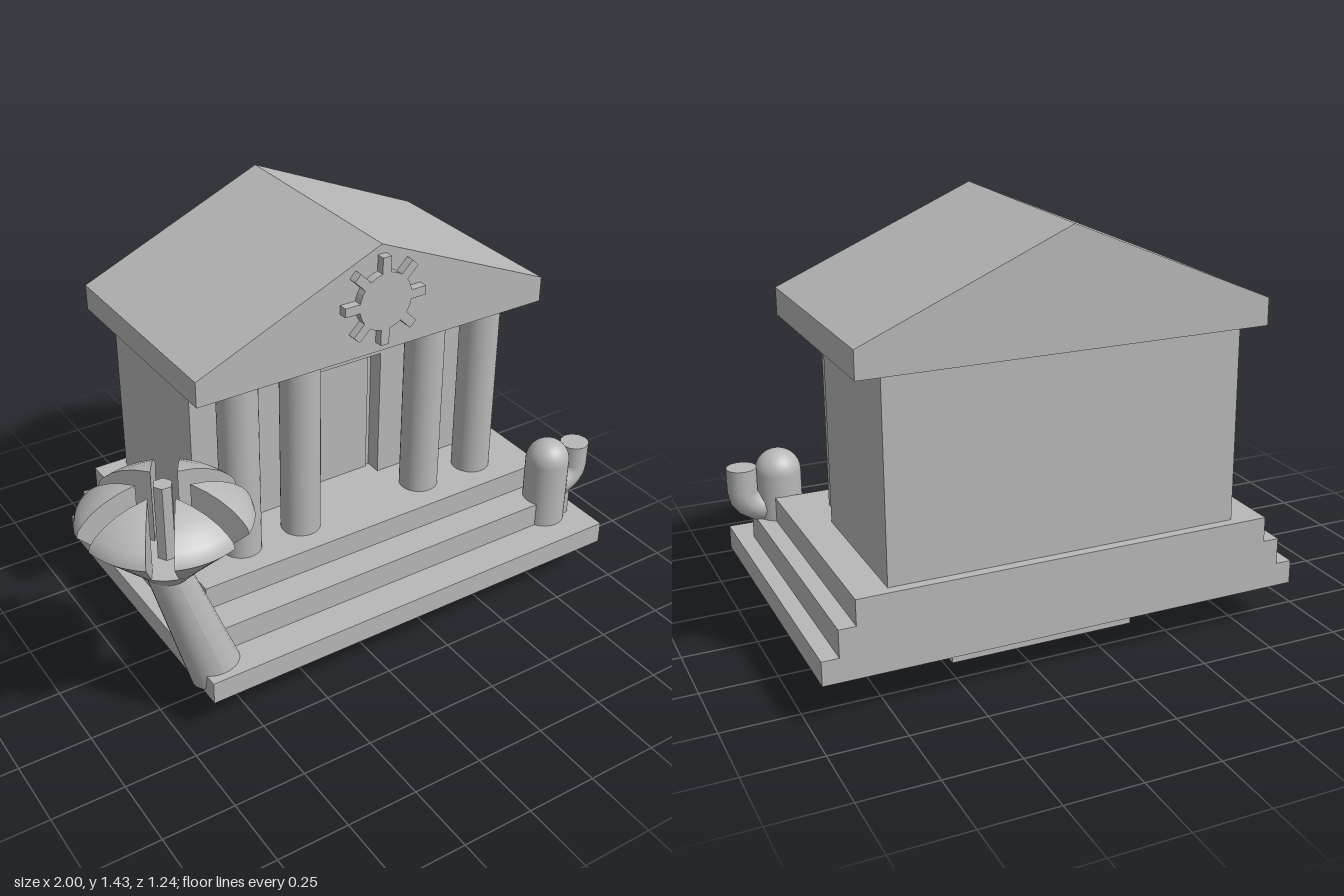
import * as THREE from 'three';
import { toCreasedNormals } from 'three/addons/utils/BufferGeometryUtils.js';

const stone = new THREE.MeshStandardMaterial({ color: 0xb8b8b8 });
stone.name = 'grey stone';

function add(parent, name, geometry, x = 0, y = 0, z = 0) {
  const mesh = new THREE.Mesh(geometry, stone);
  mesh.name = name;
  mesh.position.set(x, y, z);
  parent.add(mesh);
  return mesh;
}

// Box given by its limits on each axis
function block(parent, name, x0, x1, y0, y1, z0, z1) {
  return add(parent, name, new THREE.BoxGeometry(x1 - x0, y1 - y0, z1 - z0),
    (x0 + x1) / 2, (y0 + y1) / 2, (z0 + z1) / 2);
}

function extrude(points, depth) {
  const shape = new THREE.Shape(points.map(([x, y]) => new THREE.Vector2(x, y)));
  return new THREE.ExtrudeGeometry(shape, { depth, bevelEnabled: false });
}

// Flower petal: a 60 degree wedge of a domed bowl, its tip set off from the centre
function petalGeometry() {
  const tip = 0.08, cols = 10;
  const profile = [[0.13, 0.7], [0.268, 0.84], [0.262, 0.86], [0.245, 0.88],
    [0.215, 0.905], [0.175, 0.927], [0.13, 0.943], [0.08, 0.953]];
  const rows = profile.map(([r, y]) => {
    const half = Math.max(0, Math.PI / 6 - Math.asin(Math.min(0.5, tip * 0.5 / r)));
    return Array.from({ length: cols + 1 }, (_, i) => {
      const a = half * (2 * i / cols - 1);
      return [r * Math.sin(a), y, r * Math.cos(a)];
    });
  });
  const pos = [];
  const tri = (a, b, c) => pos.push(...a, ...b, ...c);
  const root = [0, 0.7, tip];
  for (let j = 0; j < rows.length - 1; j++) {
    const a = rows[j], b = rows[j + 1];
    const top = j === rows.length - 2;
    for (let i = 0; i < cols; i++) {
      tri(a[i], a[i + 1], b[i + 1]);
      if (!top) tri(a[i], b[i + 1], b[i]);
    }
    // Flat cut sides
    tri(root, a[0], b[0]);
    tri(root, b[cols], a[cols]);
  }
  const g = new THREE.BufferGeometry();
  g.setAttribute('position', new THREE.Float32BufferAttribute(pos, 3));
  g.computeVertexNormals();
  return toCreasedNormals(g, 0.5);
}

function createTemple() {
  const temple = new THREE.Group();
  temple.name = 'temple';
  const cx = 0.155;

  // Base and steps, flush at the back
  block(temple, 'plinth', -0.17, 0.475, 0, 0.145, -0.405, 0.246);
  block(temple, 'lowerStep', -0.655, 0.965, 0.145, 0.225, -0.62, 0.46);
  block(temple, 'middleStep', -0.6, 0.91, 0.225, 0.315, -0.62, 0.337);
  block(temple, 'upperStep', -0.545, 0.855, 0.315, 0.4, -0.62, 0.223);

  // Hall with a recessed doorway
  block(temple, 'hall', -0.435, 0.745, 0.4, 1.05, -0.587, -0.11);
  add(temple, 'doorWall', extrude([[-0.435, 0.4], [-0.013, 0.4], [-0.013, 0.89], [0.318, 0.89],
    [0.318, 0.4], [0.745, 0.4], [0.745, 1.05], [-0.435, 1.05]], 0.06), 0, 0, -0.11);
  block(temple, 'door', 0.006, 0.3, 0.4, 0.87, -0.11, -0.1);

  // Columns
  for (const x of [-0.33, -0.095, 0.405, 0.64]) {
    add(temple, 'column', new THREE.CylinderGeometry(0.069, 0.069, 0.65, 32), x, 0.725, 0.082);
  }

  // Gabled roof
  add(temple, 'roof', extrude([[-0.52, 1.05], [0.828, 1.05], [0.828, 1.14], [cx, 1.43],
    [-0.52, 1.14]], 0.782), 0, 0, -0.612);

  // Sun emblem outline: a disc with eight square rays
  const pts = [], R = 0.1, half = 0.016;
  const edge = Math.asin(half / R);
  for (let k = 0; k < 8; k++) {
    const a = k * Math.PI / 4, c = Math.cos(a), s = Math.sin(a);
    for (const side of [-1, 1]) {
      const inner = [R * Math.cos(a + side * edge), R * Math.sin(a + side * edge)];
      const outer = [0.155 * c - side * half * s, 0.155 * s + side * half * c];
      pts.push(...(side < 0 ? [inner, outer] : [outer, inner]));
    }
    for (const t of [0.33, 0.67]) {
      const b = a + edge + t * (Math.PI / 4 - 2 * edge);
      pts.push([R * Math.cos(b), R * Math.sin(b)]);
    }
  }
  add(temple, 'sunEmblem', extrude(pts, 0.03), cx, 1.242, 0.17);
  return temple;
}

function createFlower() {
  const flower = new THREE.Group();
  flower.name = 'giantFlower';
  flower.position.set(-0.735, 0, 0.352);

  // Leaning stem with a level top and a slanted foot
  const stem = new THREE.CylinderGeometry(0.07, 0.082, 1, 24);
  const p = stem.attributes.position;
  for (let i = 0; i < p.count; i++) {
    const x = p.getX(i);
    if (p.getY(i) > 0) p.setY(i, 0.635);
    else p.setXYZ(i, x + 0.145, 0.188 + x * 0.45, p.getZ(i));
  }
  stem.computeVertexNormals();
  add(flower, 'stem', stem);

  add(flower, 'flowerCup', new THREE.CylinderGeometry(0.13, 0.07, 0.065, 24), 0, 0.6675, 0);
  const pistil = new THREE.CylinderGeometry(0.031, 0.031, 0.258, 6).toNonIndexed();
  pistil.computeVertexNormals();
  pistil.rotateY(Math.PI / 6);
  add(flower, 'pistil', pistil, 0, 0.828, 0);

  const petal = petalGeometry();
  for (let k = 0; k < 6; k++) add(flower, 'petal', petal).rotation.y = k * Math.PI / 3;
  return flower;
}

function createCactus() {
  const cactus = new THREE.Group();
  cactus.name = 'cactus';
  cactus.position.set(0.822, 0, 0.298);

  add(cactus, 'trunk', new THREE.CylinderGeometry(0.078, 0.078, 0.245, 32), 0, 0.3475, 0);
  add(cactus, 'trunkDome',
    new THREE.SphereGeometry(0.078, 32, 12, 0, Math.PI * 2, 0, Math.PI / 2), 0, 0.47, 0);

  // Bent arm with a flat top
  const path = new THREE.CurvePath();
  const v = (x, y) => new THREE.Vector3(x, y, 0);
  path.add(new THREE.QuadraticBezierCurve3(v(0.03, 0.345), v(0.115, 0.355), v(0.125, 0.41)));
  path.add(new THREE.LineCurve3(v(0.125, 0.41), v(0.125, 0.5)));
  add(cactus, 'arm', new THREE.TubeGeometry(path, 8, 0.052, 12));
  add(cactus, 'armTop', new THREE.CircleGeometry(0.052, 12).rotateX(-Math.PI / 2), 0.125, 0.5, 0);
  return cactus;
}

export function createModel() {
  const model = new THREE.Group();
  model.name = 'templeWithPlants';
  model.add(createTemple(), createFlower(), createCactus());
  return model;
}
